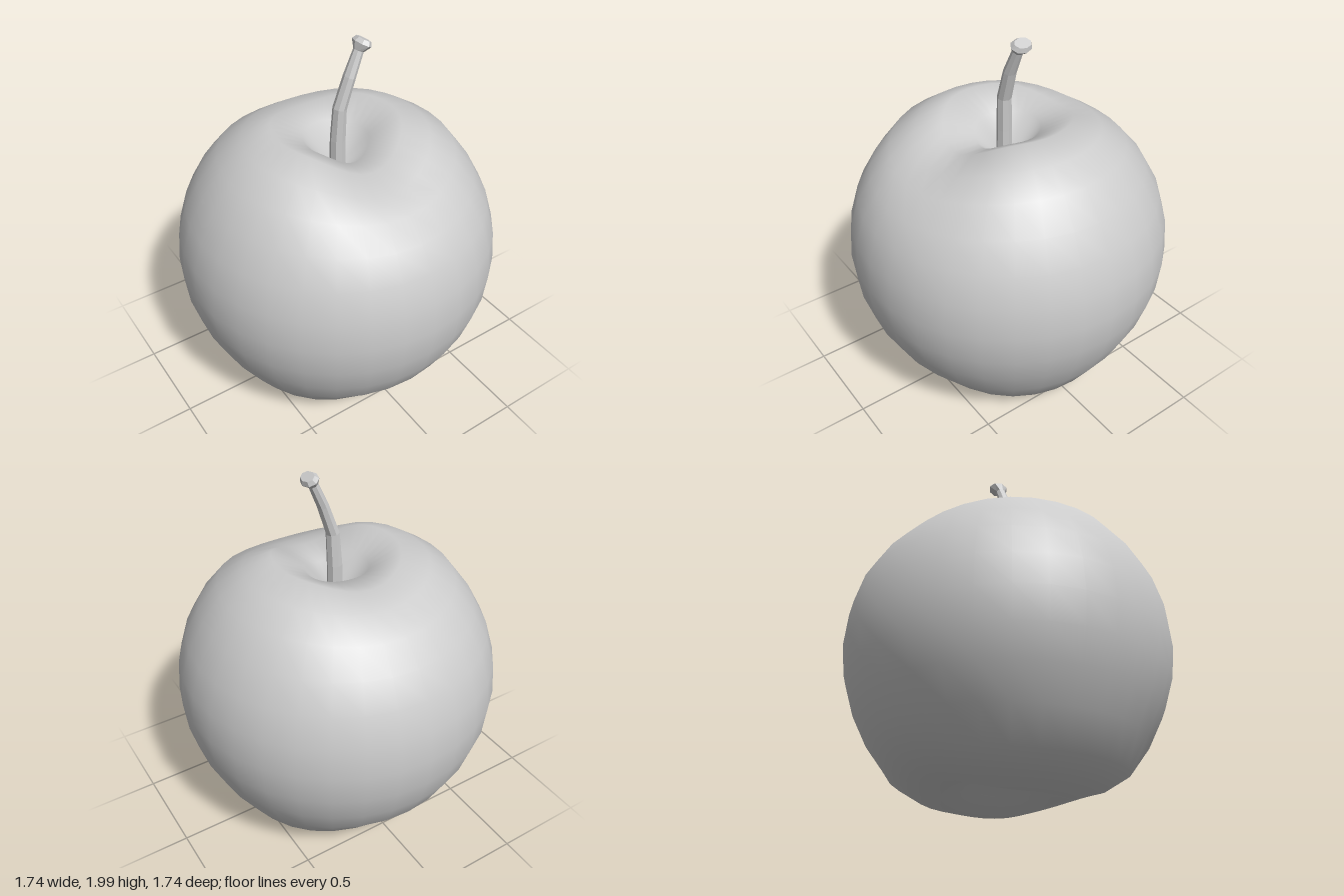
import * as THREE from 'three';
import { mergeVertices } from 'three/addons/utils/BufferGeometryUtils.js';

const RADIUS = 0.87, MID = 0.8, SEGMENTS = 32, RINGS = 16;

// Ring heights near the poles, from pole outwards: [side lobes, front valley, back valley]
const TOP = [
  [1.28, 1.28, 1.28], [1.47, 1.41, 1.48], [1.56, 1.44, 1.5],
  [1.505, 1.395, 1.465], [1.42, 1.35, 1.38], [1.28, 1.25, 1.265],
];
const BOTTOM = [
  [0.2, 0.2, 0.2], [0.09, 0.12, 0.12], [0.01, 0.075, 0.075],
  [0.05, 0.11, 0.11], [0.13, 0.19, 0.19], [0.3, 0.31, 0.31],
];

// Sphere whose poles are pressed in, with valleys to the front and back
function fruitGeometry() {
  const sphere = new THREE.SphereGeometry(RADIUS, SEGMENTS, RINGS);
  const p = sphere.attributes.position;
  for (let i = 0; i < p.count; i++) {
    const ring = Math.floor(i / (SEGMENTS + 1));
    const row = TOP[ring] || BOTTOM[RINGS - ring];
    let y = p.getY(i) + MID;
    if (row) {
      const x = p.getX(i), z = p.getZ(i);
      const sine = z / Math.max(Math.hypot(x, z), 1e-6);
      y = THREE.MathUtils.lerp(row[0], sine > 0 ? row[1] : row[2], sine ** 4);
    }
    p.setY(i, y);
  }
  sphere.deleteAttribute('uv');
  sphere.deleteAttribute('normal');
  const merged = mergeVertices(sphere, 1e-4);
  merged.computeVertexNormals();
  return merged;
}

// Faceted tube through tilted elliptic rings: [x, y, z, tilt, radiusX, radiusZ]
function loftGeometry(rings, sides) {
  const positions = [], index = [];
  for (const [x, y, z, tilt, rx, rz] of rings) {
    for (let j = 0; j < sides; j++) {
      const a = (j / sides) * Math.PI * 2;
      const u = rx * Math.cos(a);
      positions.push(x + u * Math.cos(tilt), y - u * Math.sin(tilt), z + rz * Math.sin(a));
    }
  }
  for (let i = 0; i < rings.length - 1; i++) {
    for (let j = 0; j < sides; j++) {
      const k = (j + 1) % sides;
      const a = i * sides + j, b = i * sides + k;
      const c = a + sides, d = b + sides;
      index.push(a, c, b, b, c, d);
    }
  }
  // End cap
  const last = (rings.length - 1) * sides;
  for (let j = 1; j < sides - 1; j++) index.push(last, last + j + 1, last + j);
  const g = new THREE.BufferGeometry();
  g.setAttribute('position', new THREE.Float32BufferAttribute(positions, 3));
  g.setIndex(index);
  const flat = g.toNonIndexed();
  flat.computeVertexNormals();
  return flat;
}

export function createModel() {
  const group = new THREE.Group();
  group.name = 'apple';

  const fruit = new THREE.Mesh(fruitGeometry(), new THREE.MeshStandardMaterial({ color: 0xcccccc }));
  fruit.name = 'fruit';
  group.add(fruit);

  // Bent stem that flares into a flattened knob
  const stem = new THREE.Mesh(
    loftGeometry([
      [-0.005, 1.27, 0.02, 0, 0.042, 0.042],
      [-0.003, 1.47, 0.02, 0.03, 0.041, 0.041],
      [0.005, 1.65, 0.025, 0.15, 0.036, 0.038],
      [0.058, 1.81, 0.03, 0.38, 0.031, 0.036],
      [0.114, 1.935, 0.025, 0.45, 0.027, 0.028],
      [0.135, 1.966, 0.021, 0.5, 0.046, 0.06],
      [0.147, 1.985, 0.021, 0.5, 0.033, 0.047],
    ], 8),
    new THREE.MeshStandardMaterial({ color: 0xcccccc, flatShading: true }),
  );
  stem.name = 'stem';
  group.add(stem);

  return group;
}
